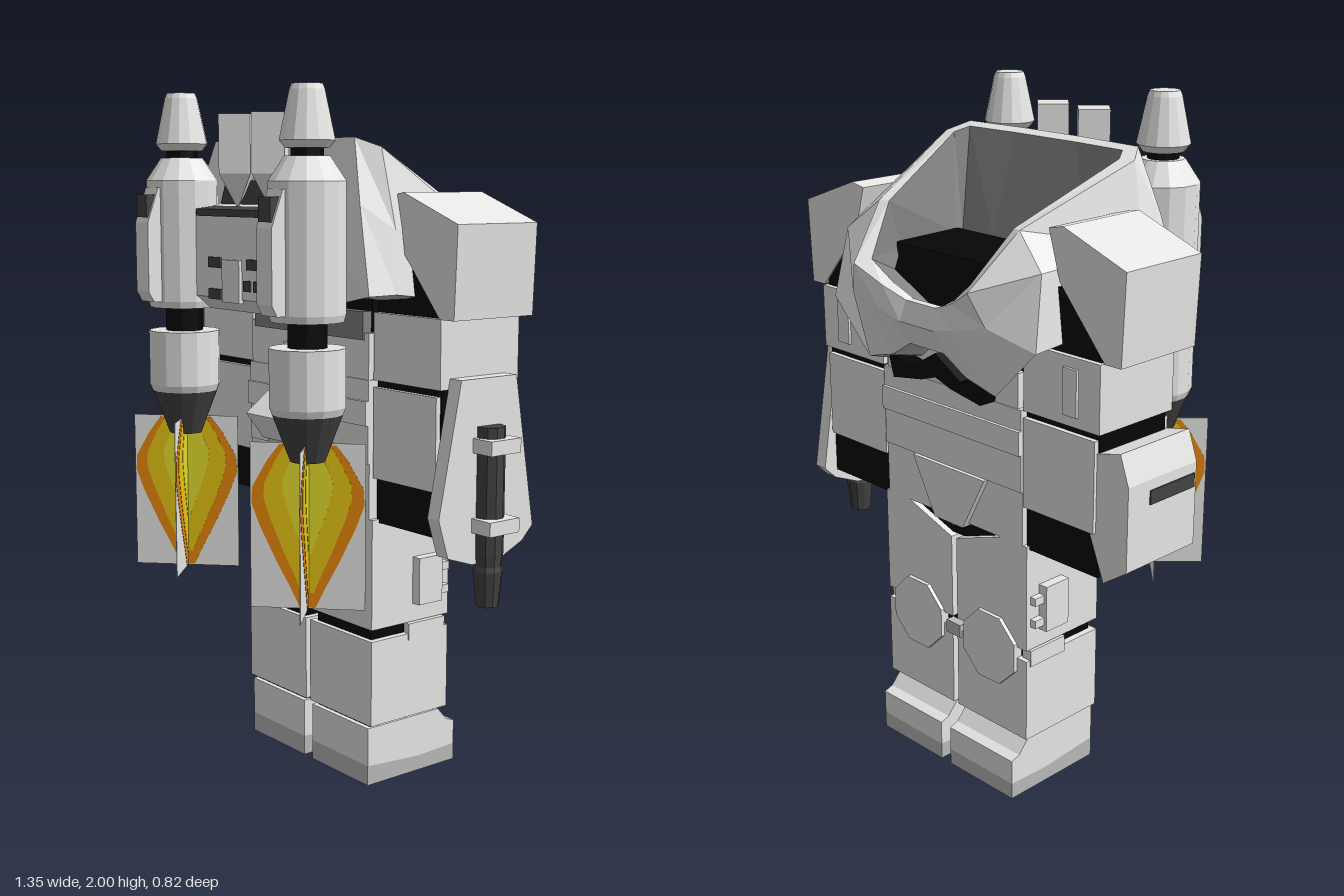
import * as THREE from 'three';

const mat = (name, color) => {
  const m = new THREE.MeshStandardMaterial({ color, side: THREE.DoubleSide, flatShading: true });
  m.name = name;
  return m;
};

export function createModel() {
  const light = mat('armourGrey', 0xe8e8e6);
  const mid = mat('shadeGrey', 0xbababa);
  const inner = mat('liningGrey', 0x848483);
  const dark = mat('darkMetal', 0x434343);
  const black = mat('undersuitBlack', 0x060606);
  const orange = mat('flameOrange', 0xf08c0c);
  const yellow = mat('flameYellow', 0xe6c414);
  const pale = mat('flamePale', 0xe4dc2c);

  const root = new THREE.Group();
  root.name = 'jetpackArmour';
  root.position.x = -0.013;

  const add = (name, geo, m, parent = root) => {
    const mesh = new THREE.Mesh(geo, m);
    mesh.name = name;
    parent.add(mesh);
    return mesh;
  };
  // Box given by its extents
  const box = (name, m, x0, x1, y0, y1, z0, z1, parent) => {
    const b = add(name, new THREE.BoxGeometry(x1 - x0, y1 - y0, z1 - z0), m, parent);
    b.position.set((x0 + x1) / 2, (y0 + y1) / 2, (z0 + z1) / 2);
    return b;
  };
  const extrude = (pts, depth) => new THREE.ExtrudeGeometry(
    new THREE.Shape(pts.map(p => new THREE.Vector2(...p))), { depth, bevelEnabled: false });
  // Outline in x,y pushed along z
  const prism = (name, m, pts, z0, z1, parent) => {
    const p = add(name, extrude(pts, z1 - z0), m, parent);
    p.position.z = z0;
    return p;
  };
  // Outline in z,y pushed along x
  const sidePrism = (name, m, pts, x0, x1, parent) => {
    const p = add(name, extrude(pts, x1 - x0).rotateY(-Math.PI / 2), m, parent);
    p.position.x = x1;
    return p;
  };
  const lathe = (name, m, pts, sides, parent) => add(name,
    new THREE.LatheGeometry(pts.map(p => new THREE.Vector2(...p)), sides), m, parent);
  // Skin between mirrored closed rings; each half ring runs from -z to +z
  const loft = (name, m, halves) => {
    const rings = halves.map(h => [...h, ...h.slice().reverse().map(([x, y, z]) => [-x, y, z])]);
    const v = [];
    for (let r = 0; r + 1 < rings.length; r++) {
      const t = rings[r], b = rings[r + 1], n = t.length;
      for (let i = 0; i < n; i++) {
        const j = (i + 1) % n;
        v.push(...t[i], ...t[j], ...b[i], ...t[j], ...b[j], ...b[i]);
      }
    }
    const g = new THREE.BufferGeometry();
    g.setAttribute('position', new THREE.Float32BufferAttribute(v, 3));
    g.computeVertexNormals();
    return add(name, g, m);
  };

  // Open collar, chest shell and lining
  const rim = [[0.06, 1.46, -0.37], [0.14, 1.49, -0.385], [0.23, 1.54, -0.41], [0.28, 1.69, -0.27],
    [0.37, 1.84, 0.07], [0.33, 1.865, 0.13], [0.12, 1.865, 0.145]];
  const lip = [[0.06, 1.46, -0.345], [0.12, 1.49, -0.355], [0.2, 1.55, -0.37], [0.25, 1.69, -0.26],
    [0.325, 1.84, 0.06], [0.3, 1.855, 0.1], [0.12, 1.855, 0.11]];
  const floor = [[0.06, 1.42, -0.27], [0.12, 1.45, -0.27], [0.22, 1.5, -0.27], [0.25, 1.55, -0.22],
    [0.26, 1.56, 0], [0.25, 1.56, 0.02], [0.12, 1.56, 0.02]];
  const yoke = [[0.07, 1.4, -0.385], [0.15, 1.42, -0.39], [0.27, 1.45, -0.385], [0.39, 1.6, -0.3],
    [0.42, 1.62, 0.06], [0.39, 1.69, 0.16], [0.12, 1.7, 0.18]];
  const hem = [[0.07, 1.33, -0.35], [0.15, 1.28, -0.345], [0.26, 1.25, -0.34], [0.41, 1.4, -0.34],
    [0.45, 1.45, 0.08], [0.46, 1.45, 0.185], [0.12, 1.38, 0.185]];
  loft('collarLining', inner, [floor, lip]);
  loft('collarRim', light, [lip, rim]);
  loft('chestShell', light, [rim, yoke, hem]);
  loft('chestUnderside', mid, [hem, hem.map(([x, y, z]) => [x * 0.65, y - 0.02, z * 0.65])]);

  // Torso, belly plates and belt
  box('undersuitTorso', black, -0.265, 0.265, 0.74, 1.57, -0.24, 0.01);
  box('bellyPlate', light, -0.285, 0.285, 0.96, 1.2, -0.268, 0.04);
  box('belt', light, -0.285, 0.285, 1.07, 1.14, -0.278, 0.05);
  prism('frontVent', black, [[-0.18, 1.2], [-0.2, 1.27], [-0.1, 1.25], [0, 1.31], [0.1, 1.25], [0.2, 1.27], [0.18, 1.2],
    [0.06, 1.22], [0, 1.24], [-0.06, 1.22]], -0.32, -0.2);
  box('frontVentBase', light, -0.27, 0.27, 1.18, 1.3, -0.265, -0.2);
  box('lowerBack', light, -0.28, 0.28, 1.18, 1.33, 0, 0.035);
  box('lowerBackRecess', inner, -0.26, 0.26, 1.31, 1.39, 0, 0.04);
  const hip = [[-0.285, 0.96], [-0.285, 0.8], [-0.05, 0.8], [0, 0.775], [0.05, 0.8], [0.285, 0.8], [0.285, 0.96]];
  prism('rearHipPlate', light, hip, 0, 0.035);
  prism('frontHipPlate', light, hip, -0.262, -0.22);
  prism('crotchPlate', light, [[-0.15, 0.96], [-0.06, 0.79], [0.06, 0.79], [0.15, 0.96]], -0.28, -0.22);
  box('backLatch', light, -0.085, 0.085, 1.12, 1.28, 0.03, 0.06);
  const roll = box('backPouch', light, -0.125, 0.125, 1.01, 1.11, 0.05, 0.15);
  roll.rotation.x = 0.65;
  box('pouchBase', mid, -0.125, 0.125, 0.965, 1.04, 0.02, 0.09);

  // Backpack with vents and two upright fins
  sidePrism('backpack', light, [[0.1, 1.7], [0.15, 1.7], [0.29, 1.66], [0.29, 1.42], [0.24, 1.38], [0.1, 1.38]], -0.2, 0.2);
  sidePrism('finTray', dark, [[0.15, 1.66], [0.15, 1.75], [0.19, 1.75], [0.21, 1.68], [0.295, 1.67], [0.295, 1.65]], -0.19, 0.19);
  box('panelBoss', light, -0.055, 0.03, 1.41, 1.53, 0.285, 0.3);
  for (const [x, y, w] of [[-0.1, 1.43, 0.06], [-0.1, 1.52, 0.06], [0.06, 1.46, 0.03], [0.115, 1.46, 0.045], [0.09, 1.52, 0.06]])
    box('panelVent', dark, x - w / 2, x + w / 2, y - 0.015, y + 0.015, 0.288, 0.296);
  for (const x of [-0.08, 0.08]) {
    const fin = lathe('backpackFin', light, [[0, 1.67], [0.064, 1.77], [0.064, 1.935], [0, 1.935]], 4);
    fin.position.set(x, 0, 0.225);
  }

  // Flame outline, broad at the nozzle and tapering to a tip
  const flame = (w, top, bottom) => {
    const h = top - bottom;
    const half = [[0.5, 1], [0.72, 0.9], [0.98, 0.74], [1, 0.64], [0.85, 0.5], [0.55, 0.28], [0.32, 0.13], [0.14, 0]];
    return [...half.map(([x, y]) => [x * w, bottom + y * h]),
      ...half.reverse().map(([x, y]) => [-x * w, bottom + y * h])];
  };

  for (const s of [-1, 1]) {
    const side = s < 0 ? 'right' : 'left';
    const mx = pts => pts.map(([x, y]) => [x * s, y]);
    const span = (x0, x1) => [Math.min(s * x0, s * x1), Math.max(s * x0, s * x1)];
    const mbox = (name, m, x0, x1, ...r) => box(side + name, m, ...span(x0, x1), ...r);

    // Thruster
    const t = new THREE.Group();
    t.name = side + 'Thruster';
    t.position.set(s * 0.303, 0, 0.268);
    root.add(t);
    lathe('noseCone', light, [[0, 1.835], [0.06, 1.835], [0.076, 1.855], [0.048, 1.985], [0.042, 2], [0, 2]], 14, t);
    lathe('noseNeck', black, [[0.045, 1.8], [0.045, 1.84]], 14, t);
    lathe('upperTank', light, [[0, 1.38], [0.1, 1.38], [0.106, 1.4], [0.106, 1.75], [0.062, 1.815], [0, 1.815]], 14, t);
    lathe('tankNeck', black, [[0.055, 1.3], [0.055, 1.39]], 14, t);
    lathe('lowerTank', light, [[0, 1.13], [0.098, 1.13], [0.106, 1.15], [0.106, 1.31], [0, 1.31]], 14, t);
    lathe('nozzle', dark, [[0, 1.0], [0.048, 1.0], [0.098, 1.13]], 14, t);
    sidePrism('tankRib', light, [[0.08, 1.4], [0.125, 1.4], [0.142, 1.43], [0.142, 1.63], [0.105, 1.73], [0.08, 1.73]], -0.034, 0.034, t);
    box('ribVent', dark, -0.026, 0.026, 1.645, 1.71, 0.1, 0.141, t);

    // Crossed flame sheets
    for (const a of [Math.PI / 4, -Math.PI / 4]) {
      const f = new THREE.Group();
      f.name = 'exhaustFlame';
      f.rotation.y = a;
      t.add(f);
      box('flameSheet', light, -0.159, 0.159, 0.585, 1.05, -0.001, 0.001, f);
      prism('outerFlame', orange, flame(0.156, 1.045, 0.588), -0.002, 0.002, f);
      prism('middleFlame', yellow, flame(0.122, 1.045, 0.63), -0.003, 0.003, f);
      prism('innerFlame', pale, flame(0.07, 1.02, 0.74), -0.004, 0.004, f);
    }

    // Shoulder and arm
    prism(side + 'ShoulderPad', light, mx([[0.37, 1.71], [0.42, 1.72], [0.635, 1.64], [0.625, 1.39],
      [0.57, 1.39], [0.41, 1.575]]), -0.255, 0.035);
    mbox('UndersuitArm', black, 0.29, 0.555, 0.79, 1.56, -0.25, 0.01);
    mbox('UpperArm', light, 0.29, 0.565, 1.2, 1.39, -0.265, 0.025);
    mbox('ArmTab', light, 0.44, 0.49, 1.23, 1.36, -0.273, -0.26);
    mbox('Forearm', light, 0.29, 0.55, 0.92, 1.18, -0.265, 0.025);

    // Leg
    mbox('UndersuitLeg', black, 0.03, 0.28, 0.15, 0.78, -0.24, 0.02);
    sidePrism(side + 'Boot', light, [[0.035, 0.06], [0.035, 0.175], [-0.24, 0.175], [-0.275, 0.135],
      [-0.305, 0.125], [-0.305, 0.05], [-0.16, 0.045]], ...span(0.02, 0.286));
    sidePrism(side + 'Sole', mid, [[0.035, 0], [0.035, 0.06], [-0.16, 0.045], [-0.305, 0.05], [-0.305, 0]],
      ...span(0.02, 0.286));
    mbox('Shin', light, 0.01, 0.3, 0.185, 0.44, -0.26, 0.035);
    prism(side + 'Thigh', light, mx([[0.01, 0.475], [0.3, 0.475], [0.3, 0.8], [0.2, 0.8], [0.01, 0.735]]), -0.26, 0.035);
    const knee = add(side + 'KneePlate', new THREE.CylinderGeometry(0.115, 0.115, 0.03, 8, 1, false, Math.PI / 8)
      .rotateX(Math.PI / 2), light);
    knee.position.set(s * 0.155, 0.44, -0.257);
    mbox('ThighPouch', light, 0.29, 0.33, 0.53, 0.67, -0.21, -0.12);
    for (const y of [0.56, 0.63]) mbox('PouchKnob', light, 0.3, 0.32, y - 0.012, y + 0.012, -0.245, -0.2);
    mbox('KneeClip', light, 0.27, 0.303, 0.42, 0.47, -0.245, -0.105);
  }
  box('kneeLink', mid, -0.03, 0.03, 0.42, 0.46, -0.268, -0.24);

  // Bracer on the right forearm
  prism('rightBracer', light, [[-0.53, 1.14], [-0.63, 1.165], [-0.66, 1.08], [-0.66, 0.84], [-0.58, 0.785], [-0.53, 0.91]], -0.255, 0.02);
  box('bracerVent', dark, -0.664, -0.655, 1.01, 1.05, -0.17, 0.01);

  // Shield plate and barrel on the left forearm
  sidePrism('leftArmShield', light, [[-0.01, 1.23], [-0.215, 1.23], [-0.29, 0.8], [-0.25, 0.76], [-0.16, 0.72],
    [-0.06, 0.72], [0.03, 0.75], [0.065, 0.86]], 0.565, 0.61);
  const gun = new THREE.Group();
  gun.name = 'armBarrel';
  gun.position.set(0.62, 0, -0.11);
  root.add(gun);
  lathe('barrel', dark, [[0, 0.7], [0.036, 0.7], [0.042, 0.75], [0.042, 1.1], [0, 1.1]], 10, gun);
  lathe('muzzle', dark, [[0, 0.6], [0.032, 0.6], [0.042, 0.7], [0.036, 0.72], [0, 0.72]], 10, gun);
  for (const y of [0.83, 1.05]) box('barrelClamp', light, -0.02, 0.062, y - 0.02, y + 0.02, -0.055, 0.055, gun);

  const model = new THREE.Group();
  model.name = 'armourSuit';
  model.add(root);
  return model;
}
